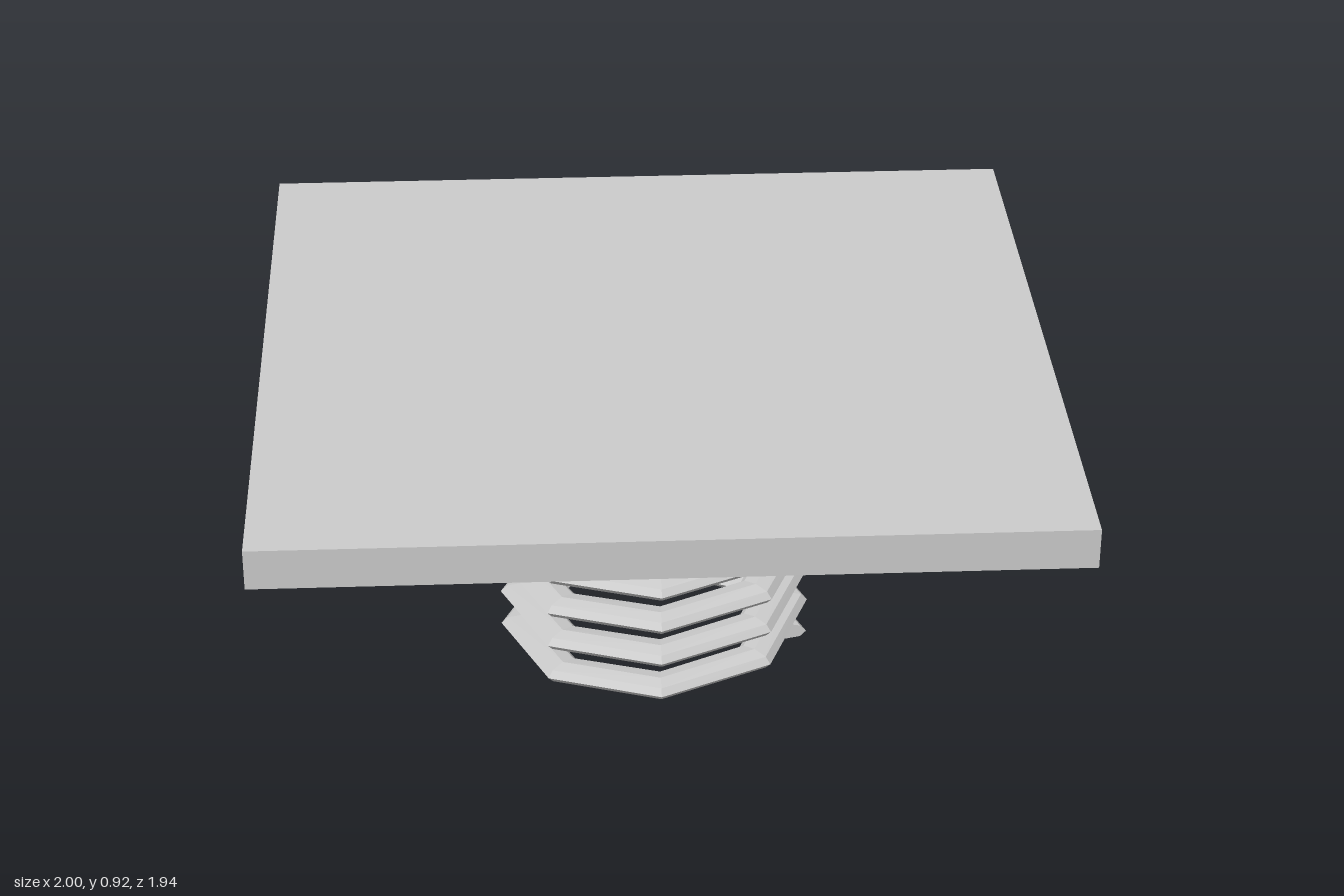
import * as THREE from 'three';

// Low-poly helical spring: flattened octagonal wire, eight straight runs per turn
function coilGeometry({ turns, perTurn, sides, radius, halfWidth, halfHeight, startY, pitch }) {
  const steps = turns * perTurn;
  const pos = [], index = [];
  for (let i = 0; i <= steps; i++) {
    const t = (i / perTurn) * Math.PI * 2;
    const y = startY + (pitch * i) / perTurn;
    for (let j = 0; j < sides; j++) {
      const a = (j / sides) * Math.PI * 2;
      const r = radius + halfWidth * Math.cos(a);
      pos.push(r * Math.cos(t), y + halfHeight * Math.sin(a), -r * Math.sin(t));
    }
  }
  for (let i = 0; i < steps; i++) {
    for (let j = 0; j < sides; j++) {
      const k = (j + 1) % sides;
      const a = i * sides + j, b = a + sides, c = (i + 1) * sides + k, d = i * sides + k;
      index.push(a, b, c, a, c, d);
    }
  }
  // End caps
  const last = steps * sides;
  for (let j = 1; j < sides - 1; j++) {
    index.push(0, j, j + 1, last, last + j + 1, last + j);
  }
  const g = new THREE.BufferGeometry();
  g.setAttribute('position', new THREE.Float32BufferAttribute(pos, 3));
  g.setIndex(index);
  const flat = g.toNonIndexed();
  flat.computeVertexNormals();
  return flat;
}

export function createModel() {
  const group = new THREE.Group();
  group.name = 'springPlatform';
  const grey = new THREE.MeshStandardMaterial({ color: 0xcccccc, flatShading: true });

  // Flat platform on top
  const platform = new THREE.Mesh(new THREE.BoxGeometry(2, 0.104, 1.94), grey);
  platform.name = 'platform';
  platform.position.y = 0.871;
  group.add(platform);

  // Coil spring, its upper end sunk into the platform
  const spring = new THREE.Mesh(coilGeometry({
    turns: 8, perTurn: 8, sides: 8, radius: 0.355,
    halfWidth: 0.055, halfHeight: 0.024, startY: 0.025, pitch: 0.101,
  }), grey);
  spring.name = 'spring';
  group.add(spring);

  return group;
}
